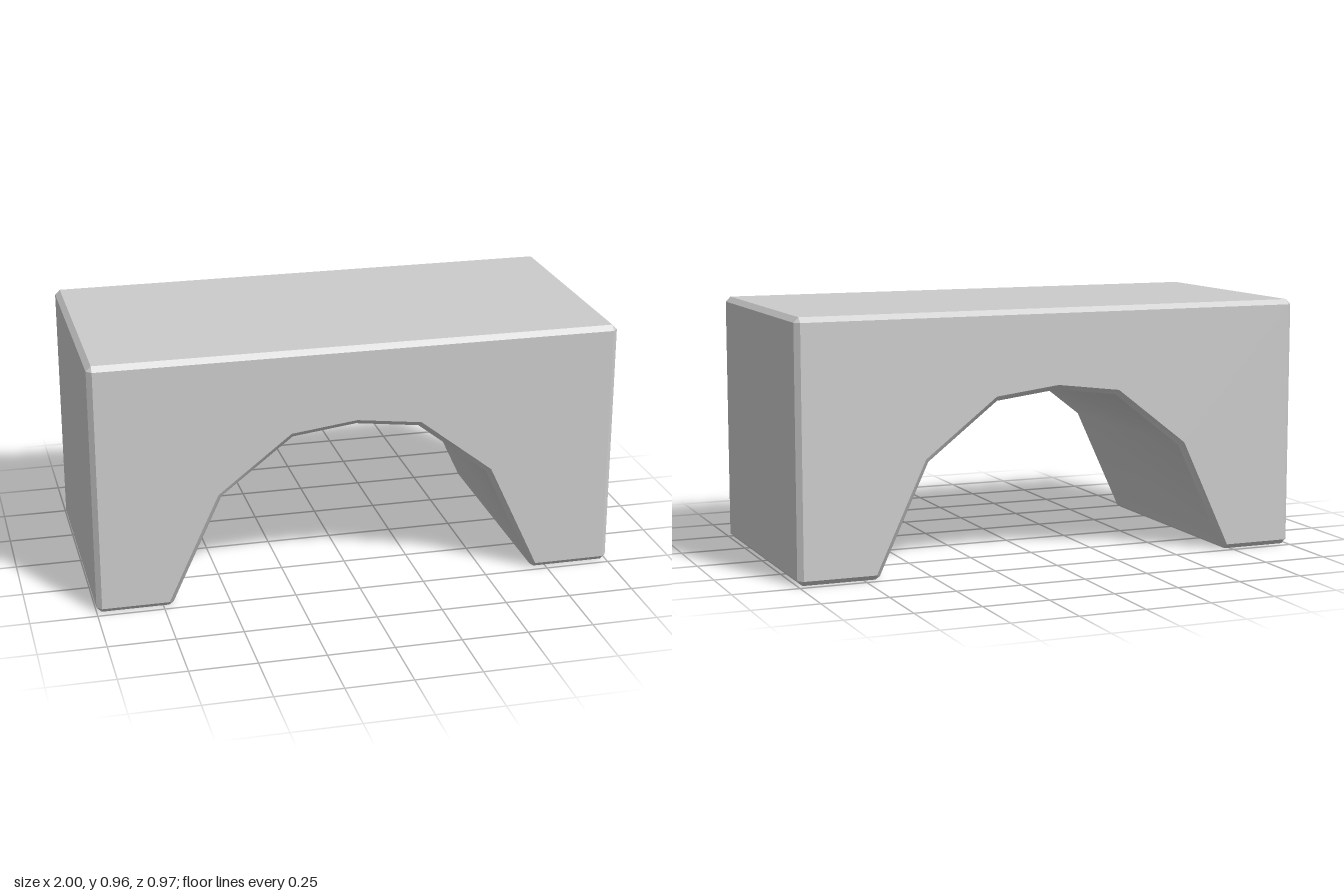
import * as THREE from 'three';
import { toCreasedNormals } from 'three/addons/utils/BufferGeometryUtils.js';

const HEIGHT = 0.965, HALF_DEPTH = 0.485, CHAMFER = 0.019, ARCH_X = -0.011;

// Half of the arch opening, from foot to crown: distance from its middle, height
const archHalf = [[0.705, 0], [0.51, 0.42], [0.24, 0.63], [0, 0.66]];

function archBlockGeometry() {
  // Sharp outline, counter-clockwise
  const left = archHalf.map(([x, y]) => new THREE.Vector2(ARCH_X - x, y));
  const right = archHalf.slice(0, -1).reverse().map(([x, y]) => new THREE.Vector2(ARCH_X + x, y));
  const outline = [
    new THREE.Vector2(1, 0), new THREE.Vector2(1, HEIGHT),
    new THREE.Vector2(-1, HEIGHT), new THREE.Vector2(-1, 0),
    ...left, ...right,
  ];
  const n = outline.length;
  const normals = outline.map((p, i) => {
    const d = outline[(i + 1) % n].clone().sub(p).normalize();
    return new THREE.Vector2(d.y, -d.x);
  });

  // Inset face outline, and the body loop with its outer corners cut off
  const face = [], faceLoop = [], bodyLoop = [];
  outline.forEach((p, i) => {
    const a = normals[(i + n - 1) % n], b = normals[i];
    const inset = p.clone().addScaledVector(a.clone().add(b), -CHAMFER / (1 + a.dot(b)));
    face.push(inset);
    const isArchBend = i > 4 && i < n - 1;
    if (isArchBend) {
      faceLoop.push(inset);
      bodyLoop.push(p);
    } else {
      faceLoop.push(inset, inset);
      bodyLoop.push(inset.clone().addScaledVector(a, CHAMFER), inset.clone().addScaledVector(b, CHAMFER));
    }
  });

  const positions = [];
  const triangle = (...points) => {
    const [a, b, c] = points;
    if (a.distanceTo(b) < 1e-6 || b.distanceTo(c) < 1e-6 || c.distanceTo(a) < 1e-6) return;
    points.forEach((p) => positions.push(p.x, p.y, p.z));
  };
  const at = (loop, z) => loop.map((p) => new THREE.Vector3(p.x, p.y, z));

  // Back chamfer, body and front chamfer as strips between rings
  const zBody = HALF_DEPTH - CHAMFER;
  const rings = [at(faceLoop, -HALF_DEPTH), at(bodyLoop, -zBody), at(bodyLoop, zBody), at(faceLoop, HALF_DEPTH)];
  for (let r = 0; r < 3; r++) {
    for (let i = 0; i < bodyLoop.length; i++) {
      const j = (i + 1) % bodyLoop.length;
      triangle(rings[r][i], rings[r][j], rings[r + 1][j]);
      triangle(rings[r][i], rings[r + 1][j], rings[r + 1][i]);
    }
  }

  // Front and back faces
  const front = at(face, HALF_DEPTH), back = at(face, -HALF_DEPTH);
  for (const [a, b, c] of THREE.ShapeUtils.triangulateShape(face, [])) {
    triangle(front[a], front[b], front[c]);
    triangle(back[c], back[b], back[a]);
  }

  const geometry = new THREE.BufferGeometry();
  geometry.setAttribute('position', new THREE.Float32BufferAttribute(positions, 3));
  // Smooth along the arch, sharp at the chamfers
  return toCreasedNormals(geometry, 0.54);
}

export function createModel() {
  const group = new THREE.Group();
  group.name = 'archBlockModel';
  const block = new THREE.Mesh(archBlockGeometry(), new THREE.MeshStandardMaterial({ color: 0xcccccc }));
  block.name = 'archBlock';
  group.add(block);
  return group;
}
